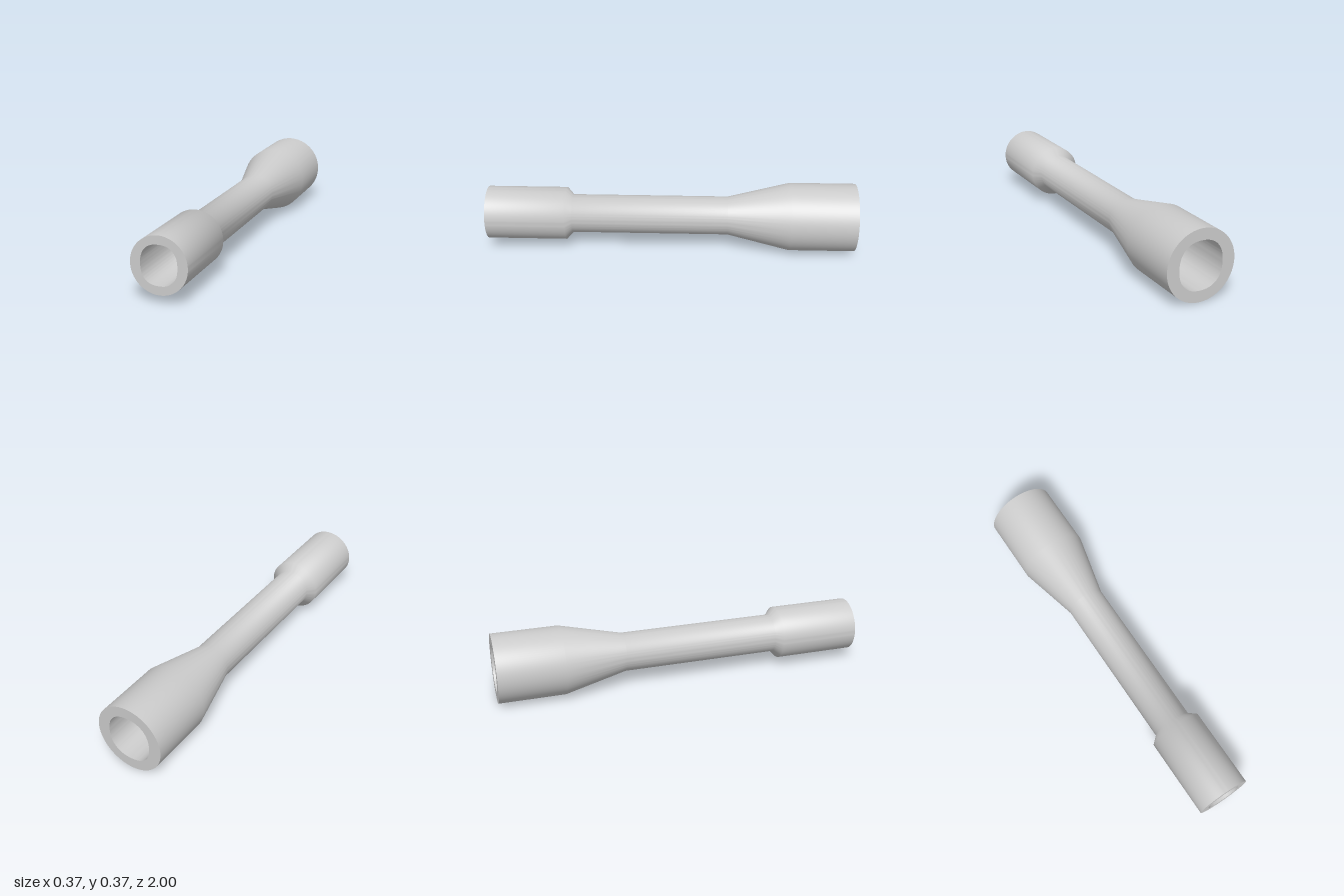
import * as THREE from 'three';
import { toCreasedNormals } from 'three/addons/utils/BufferGeometryUtils.js';

const SIDES = 96;
const CENTRE_Y = 0.184;

// Skin a run of superelliptic rings [z, halfWidth, halfHeight, exponent]
function loft(rings) {
  const pos = [], index = [];
  for (const [z, a, b, n] of rings) {
    for (let j = 0; j < SIDES; j++) {
      const t = (j / SIDES) * Math.PI * 2, c = Math.cos(t), s = Math.sin(t);
      const r = Math.pow(Math.abs(c) ** n + Math.abs(s) ** n, -1 / n);
      pos.push(a * r * c, b * r * s, z);
    }
  }
  for (let i = 0; i < rings.length - 1; i++) {
    for (let j = 0; j < SIDES; j++) {
      const k = (j + 1) % SIDES;
      const p = i * SIDES + j, q = i * SIDES + k;
      index.push(p, p + SIDES, q, q, p + SIDES, q + SIDES);
    }
  }
  const g = new THREE.BufferGeometry();
  g.setAttribute('position', new THREE.Float32BufferAttribute(pos, 3));
  g.setIndex(index);
  return toCreasedNormals(g, Math.PI / 3);
}

export function createModel() {
  const group = new THREE.Group();
  group.name = 'socketExtension';
  const material = new THREE.MeshStandardMaterial({ color: 0xcccccc });

  const add = (name, rings) => {
    const mesh = new THREE.Mesh(loft(rings), material);
    mesh.name = name;
    mesh.position.y = CENTRE_Y;
    group.add(mesh);
  };

  // Round outside: narrow socket, chamfer, shaft, taper, wide socket
  const outer = [[1, 0.143], [0.57, 0.143], [0.535, 0.104], [-0.31, 0.104], [-0.645, 0.184], [-1, 0.184]]
    .map(([z, r]) => [z, r, r, 2]);

  // Slightly squared bore, front to back
  const bore = [
    [1, 0.092, 0.099, 2.4],
    [0.57, 0.092, 0.099, 2.4],
    [0.535, 0.073, 0.079, 2.5],
    [-0.31, 0.073, 0.079, 2.5],
    [-0.645, 0.118, 0.125, 2.3],
    [-1, 0.118, 0.125, 2.3],
  ];

  add('outerShell', outer);
  add('backRim', [outer[5], bore[5]]);
  add('innerBore', [...bore].reverse());
  add('frontRim', [bore[0], outer[0]]);
  return group;
}
